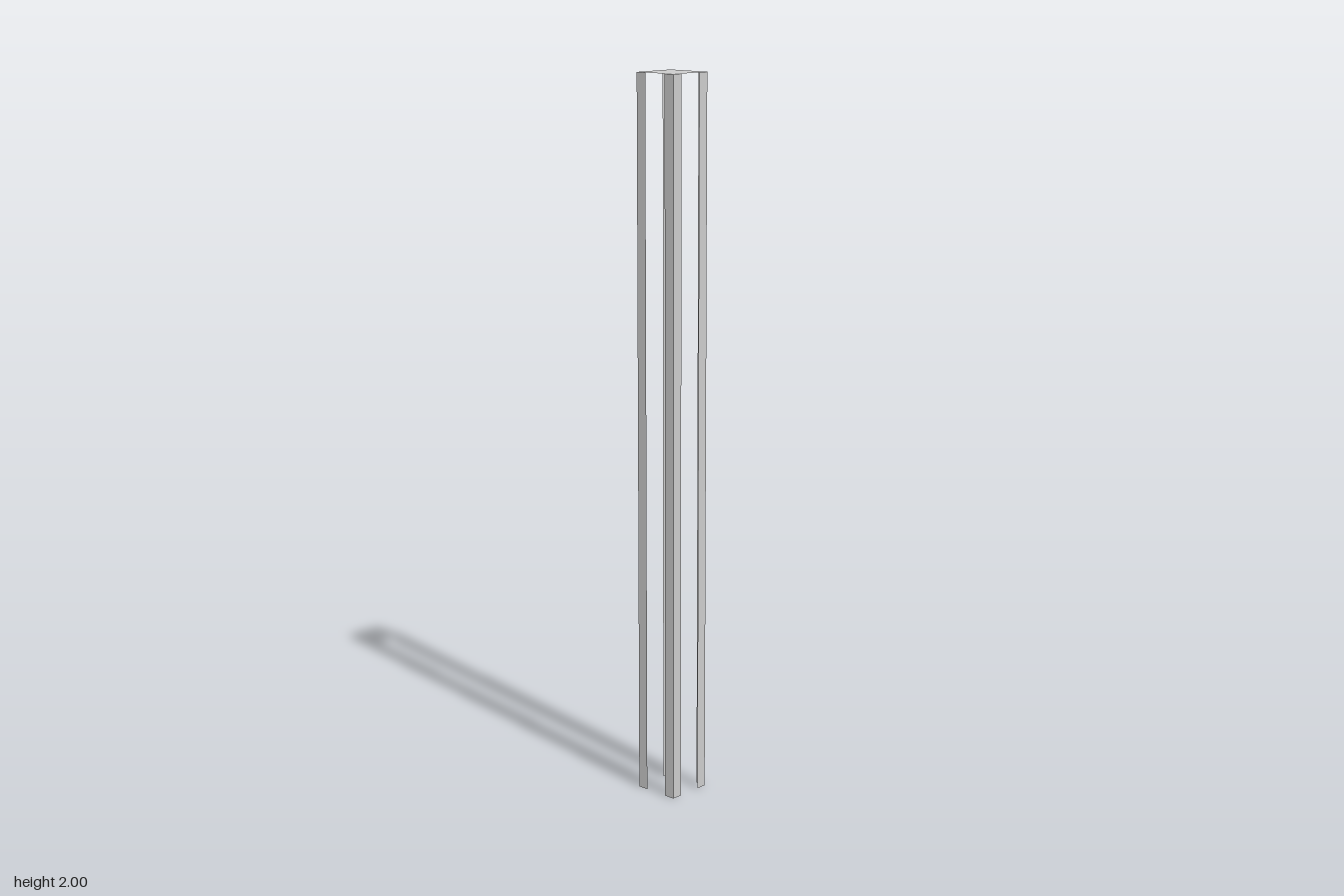
import * as THREE from 'three';

const HEIGHT = 2;
const HALF = 0.0655;   // half width of the square footprint
const FLANGE = 0.031;  // width of each leg flange

export function createModel() {
  const model = new THREE.Group();
  model.name = 'angleLegStand';
  const material = new THREE.MeshStandardMaterial({
    color: 0xcccccc, side: THREE.DoubleSide, flatShading: true,
  });

  // Thin sheet on top
  const top = new THREE.Mesh(new THREE.PlaneGeometry(2 * HALF, 2 * HALF), material);
  top.name = 'topPlate';
  top.rotation.x = -Math.PI / 2;
  top.position.y = HEIGHT;
  model.add(top);

  // Four sheet angle legs: two flanges meeting at each outer corner
  const flangeGeometry = new THREE.PlaneGeometry(FLANGE, HEIGHT);
  const inset = HALF - FLANGE / 2;
  const names = ['frontLeftLeg', 'backLeftLeg', 'backRightLeg', 'frontRightLeg'];
  names.forEach((name, i) => {
    const leg = new THREE.Group();
    leg.name = name;

    const faceFlange = new THREE.Mesh(flangeGeometry, material);
    faceFlange.name = 'faceFlange';
    faceFlange.position.set(inset, HEIGHT / 2, HALF);

    const sideFlange = new THREE.Mesh(flangeGeometry, material);
    sideFlange.name = 'sideFlange';
    sideFlange.rotation.y = Math.PI / 2;
    sideFlange.position.set(HALF, HEIGHT / 2, inset);

    leg.add(faceFlange, sideFlange);
    leg.rotation.y = i * Math.PI / 2;
    model.add(leg);
  });

  return model;
}
